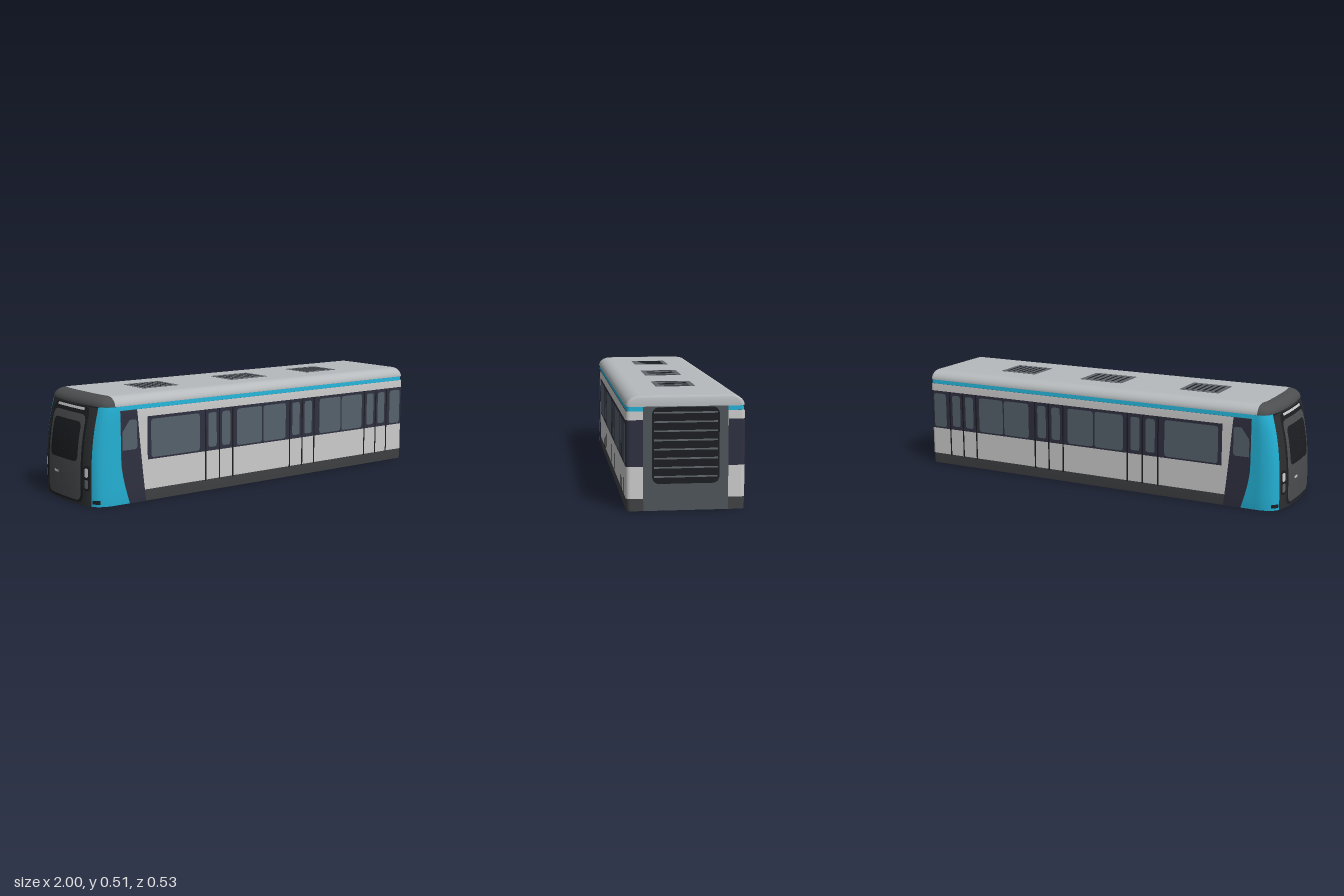
import * as THREE from 'three';

const WHITE = 0xe4e5e7, ROOF = 0xb6babc, BLUE = 0x24b0d4, NAVY = 0x2f3040, GLASS = 0x55616b,
  SKIRT = 0x404143, PLATE = 0x4d5558, BLACK = 0x1c1e22, SLAT = 0x5f666a, CAP = 0x4c4e50, MASK = 0x2c2e30;

const EAVE = 0.46, TOP = 0.506, NOSE = -0.84, FRONT = -1.2, TAIL = 0.995, R = 0.02, HALF = 0.262;
const ARC = R * Math.PI / 2, REAR = TAIL - R + ARC + HALF - R;

const mats = {};
const mat = c => (mats[c] ??= new THREE.MeshStandardMaterial({ color: c }));

// Half plan of the body from the side round to the middle of the nose
const nosePlan = new THREE.CatmullRomCurve3(
  [[-0.84, 0.262], [-0.9, 0.259], [-0.947, 0.238], [-0.974, 0.195], [-0.986, 0.14], [-0.992, 0.07], [-0.994, 0]]
    .map(([x, z]) => new THREE.Vector3(x, 0, z)));

// s runs from nose centre (FRONT) along the side (s = x) and round to the tail centre (REAR)
function plan(s) {
  if (s < NOSE) {
    const p = nosePlan.getPointAt(Math.min(1, (NOSE - s) / (NOSE - FRONT)));
    return [p.x, p.z];
  }
  const bend = s - (TAIL - R);
  if (bend < 0) return [s, HALF];
  if (bend < ARC) return [TAIL - R + R * Math.sin(bend / R), HALF - R + R * Math.cos(bend / R)];
  return [TAIL, HALF - R - (bend - ARC)];
}
const roofArc = y => Math.sqrt(Math.max(0, 1 - ((y - EAVE) / (TOP - EAVE)) ** 2));
const noseScale = y => y > EAVE ? 0.2 + 0.42 * roofArc(y) : 1 - 0.38 * (y / EAVE) ** 3;
function halfWidth(y) {
  if (y > EAVE) return 0.2 + 0.061 * roofArc(y);
  if (y > 0.4) return 0.263 - 0.004 * ((y - 0.4) / 0.06) ** 2;
  return y < 0.07 ? 0.263 - 0.003 * (1 - y / 0.07) ** 2 : 0.263;
}
function skinPoint(s, y) {
  let [x, z] = plan(s);
  if (x < NOSE) x = NOSE + (x - NOSE) * noseScale(y);
  if (x > 0.9 && y > EAVE) x -= 0.01 * (1 - roofArc(y));
  return new THREE.Vector3(x, y, z / HALF * halfWidth(y));
}
function skinNormal(s, y) {
  const h = 1e-4, y1 = Math.min(y + h, TOP - h), y0 = y1 - 2 * h;
  const ds = skinPoint(Math.min(REAR, s + h), y).sub(skinPoint(Math.max(FRONT, s - h), y));
  const dy = skinPoint(s, y1).sub(skinPoint(s, y0));
  return ds.cross(dy).normalize();
}

// Columns are dense only round the nose and the rear corner
const KNOTS = [];
for (let i = 0; i <= 24; i++) KNOTS.push(FRONT + i * 0.015);
for (let i = 0; i <= 8; i++) KNOTS.push(TAIL - R + i * ARC / 8);

// Patch of body skin between two edges; an edge may vary with height
function patchGeometry(s0, s1, y0, y1, offset, side, ny) {
  const at = (e, y) => typeof e === 'function' ? e(y) : e;
  const cols = [-9, ...KNOTS, 9], pos = [], nor = [], idx = [];
  for (let j = 0; j <= ny; j++) {
    const y = (y0 + y1) / 2 - (y1 - y0) / 2 * Math.cos(Math.PI * j / ny);
    for (const k of cols) {
      const s = Math.min(at(s1, y), Math.max(at(s0, y), k));
      const n = skinNormal(s, y), p = skinPoint(s, y).addScaledVector(n, offset);
      pos.push(p.x, y, p.z * side);
      nor.push(n.x, n.y, n.z * side);
    }
  }
  for (let j = 0; j < ny; j++) for (let i = 0; i < cols.length - 1; i++) {
    const a = j * cols.length + i, b = a + 1, c = a + cols.length, d = c + 1;
    if (side > 0) idx.push(a, b, d, a, d, c); else idx.push(a, d, b, a, c, d);
  }
  const g = new THREE.BufferGeometry();
  g.setAttribute('position', new THREE.Float32BufferAttribute(pos, 3));
  g.setAttribute('normal', new THREE.Float32BufferAttribute(nor, 3));
  g.setIndex(idx);
  return g;
}

// Inset of a vertical edge that rounds the corners of a panel
const round = (y0, y1, r) => y => {
  const d = Math.max(0, r - Math.min(y - y0, y1 - y));
  return r - Math.sqrt(Math.max(0, r * r - d * d));
};

// Horizontal outline of the body at one height
function outline(y, offset) {
  const half = [...KNOTS, REAR].map(s => {
    const p = skinPoint(s, y).addScaledVector(skinNormal(s, Math.min(y, 0.45)), offset);
    return new THREE.Vector2(p.x, Math.max(0, p.z));
  });
  return [...half, ...half.slice(1, -1).reverse().map(p => new THREE.Vector2(p.x, -p.y))];
}

function roundPlate(w, h, r, depth) {
  const s = new THREE.Shape(), a = w / 2, b = h / 2;
  s.absarc(a - r, b - r, r, 0, Math.PI / 2);
  s.absarc(-a + r, b - r, r, Math.PI / 2, Math.PI);
  s.absarc(-a + r, -b + r, r, Math.PI, Math.PI * 1.5);
  s.absarc(a - r, -b + r, r, Math.PI * 1.5, Math.PI * 2);
  return new THREE.ExtrudeGeometry(s, { depth, bevelEnabled: false, curveSegments: 8 });
}

export function createModel() {
  const model = new THREE.Group();
  const add = (name, geo, material, x = 0, y = 0, z = 0) => {
    const m = new THREE.Mesh(geo, material.isMaterial ? material : mat(material));
    m.name = name;
    m.position.set(x, y, z);
    model.add(m);
  };
  const skin = (name, color, s0, s1, y0, y1, offset = 0, ny = 8) => {
    for (const side of [1, -1]) add(name, patchGeometry(s0, s1, y0, y1, offset, side, ny), color);
  };
  const panel = (name, color, s0, s1, y0, y1, r, offset) => {
    const inset = round(y0, y1, r);
    skin(name, color, y => s0 + inset(y), y => s1 - inset(y), y0, y1, offset, 10);
  };
  // Panel across the middle of the nose, given by its outer edge
  const nosePanel = (name, color, edge, y0, y1, r, offset) => {
    const inset = round(y0, y1, r);
    skin(name, color, FRONT, y => edge - inset(y), y0, y1, offset, 12);
  };

  // Body skin
  const cabFront = y => -0.835 + 0.045 * Math.max(0, 1 - y / 0.2) ** 1.5;
  const cabBack = y => -0.70 - 0.045 * Math.min(1, y / 0.44) ** 0.8;
  const wallEnd = REAR - 0.187, blueEdge = -0.985;
  skin('sideWall', WHITE, cabBack, wallEnd, 0.055, 0.44);
  skin('skirt', SKIRT, cabBack, wallEnd, 0, 0.055);
  skin('windowBand', NAVY, -0.69, wallEnd, 0.197, 0.402, 0.0008);
  skin('cabPanel', NAVY, cabFront, cabBack, 0, 0.44, 0.002, 16);
  skin('cabSide', BLUE, blueEdge, cabFront, 0, 0.44, 0, 16);
  skin('cabSideTop', BLUE, blueEdge, NOSE, 0.44, EAVE);
  skin('eaveStripe', BLUE, NOSE, wallEnd, 0.44, EAVE, -0.003);
  add('tailPlate', new THREE.PlaneGeometry(0.374, EAVE).rotateY(Math.PI / 2), PLATE, TAIL, EAVE / 2, 0);

  // Roof and the dark cap over the nose
  const capEdge = y => NOSE - 0.02 / noseScale(y);
  skin('roofEdge', ROOF, capEdge, REAR, EAVE, TOP, 0, 14);
  skin('noseCap', CAP, FRONT, capEdge, EAVE, TOP, 0, 14);
  add('roofTop', new THREE.ShapeGeometry(new THREE.Shape(outline(TOP, 0))).rotateX(-Math.PI / 2), ROOF, 0, TOP);

  // Open interior with a bottom rim
  const inside = new THREE.MeshStandardMaterial({ color: PLATE, side: THREE.DoubleSide });
  skin('innerWall', inside, FRONT, REAR, 0, 0.45, -0.012);
  add('ceiling', new THREE.ShapeGeometry(new THREE.Shape(outline(0.45, -0.012))).rotateX(Math.PI / 2), inside, 0, 0.45);
  const rim = new THREE.Shape(outline(0, 0));
  rim.holes.push(new THREE.Path(outline(0, -0.012)));
  add('bottomRim', new THREE.ShapeGeometry(rim).rotateX(Math.PI / 2), SKIRT);

  // Side windows
  for (const [a, b] of [[-0.67, -0.39], [-0.165, -0.005], [0.003, 0.15], [0.38, 0.53], [0.537, 0.685], [0.895, 0.972]])
    panel('sideWindow', GLASS, a, b, 0.205, 0.388, 0.012, 0.0016);
  // Double doors with seams and narrow windows
  for (const x of [-0.272, 0.261, 0.789]) {
    for (const d of [-0.084, 0, 0.082]) skin('doorSeam', BLACK, x + d - 0.004, x + d + 0.004, 0.05, 0.402, 0.0014);
    for (const d of [-0.042, 0.041]) panel('doorWindow', GLASS, x + d - 0.025, x + d + 0.025, 0.215, 0.385, 0.01, 0.0016);
  }
  // Cab side window with a slanted front edge
  skin('cabWindow', GLASS, y => -0.828 + 0.04 * Math.max(0, (y - 0.34) / 0.055), y => -0.748 - round(0.255, 0.395, 0.012)(y),
    0.255, 0.395, 0.003, 12);

  // Nose face: mask, door, windscreen, lamps
  skin('noseMask', MASK, FRONT, blueEdge, 0, EAVE, 0, 12);
  nosePanel('noseDoorFrame', BLACK, -1.035, 0.01, 0.455, 0.03, 0.003);
  nosePanel('noseDoor', CAP, -1.05, 0.02, 0.42, 0.03, 0.0045);
  nosePanel('windscreen', BLACK, -1.075, 0.2, 0.385, 0.025, 0.006);
  nosePanel('topLamp', WHITE, -1.075, 0.438, 0.45, 0.004, 0.005);
  panel('headlightHousing', BLACK, -1.03, -0.992, 0.07, 0.19, 0.012, 0.002);
  panel('headlight', WHITE, -1.023, -1.001, 0.135, 0.178, 0.008, 0.0035);
  panel('tailLight', SLAT, -1.023, -1.001, 0.082, 0.125, 0.008, 0.0035);
  panel('step', BLACK, -0.98, -0.94, 0.012, 0.03, 0.004, 0.0015);
  add('doorHandle', new THREE.BoxGeometry(0.006, 0.01, 0.035), WHITE, -0.995, 0.13, -0.06);

  // Tail grille
  add('tailGrille', roundPlate(0.296, 0.337, 0.03, 0.002).rotateY(Math.PI / 2), BLACK, TAIL, 0.288, 0);
  for (let i = 0; i < 8; i++) add('tailSlat', new THREE.BoxGeometry(0.004, 0.007, 0.28), SLAT, 0.998, 0.151 + i * 0.0403, 0);

  // Roof grilles
  for (const [x, w] of [[-0.495, 0.21], [0.05, 0.24], [0.545, 0.21]]) {
    add('roofGrille', roundPlate(w, 0.185, 0.012, 0.001).rotateX(-Math.PI / 2), SLAT, x, TOP, 0);
    for (let i = 0; i < 6; i++)
      add('roofSlot', new THREE.BoxGeometry(0.011, 0.001, 0.135), BLACK, x + (i - 2.5) * w * 0.145, TOP + 0.0011, 0);
  }
  return model;
}
